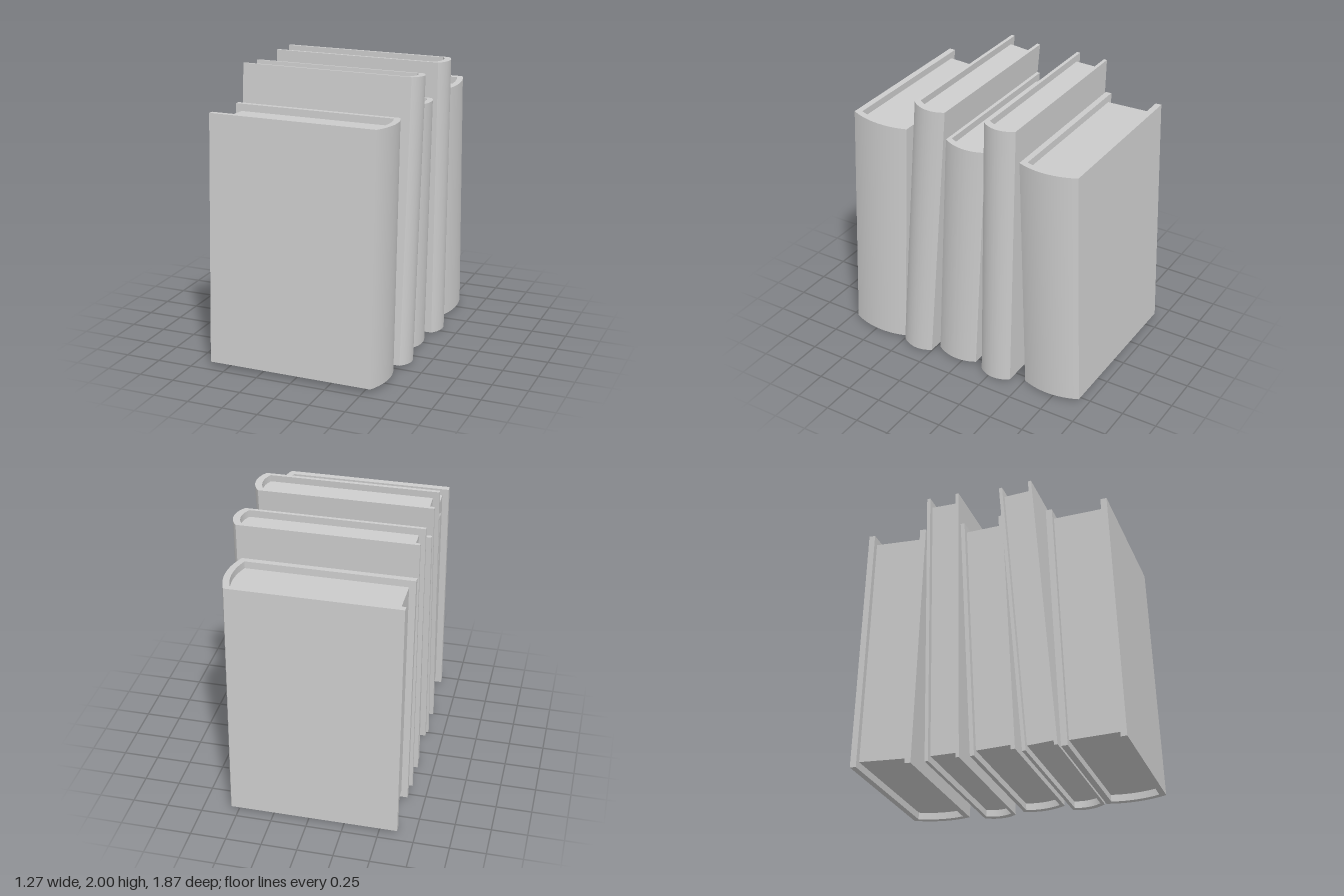
import * as THREE from 'three';
import { toCreasedNormals } from 'three/addons/utils/BufferGeometryUtils.js';

const material = new THREE.MeshStandardMaterial({ color: 0xcccccc });

// Adds a bulging arc at x between z = -half and z = +half (reversed if asked)
function addArc(shape, x, half, bulge, reverse = false) {
  const r = (half * half + bulge * bulge) / (2 * bulge);
  const a = Math.asin(half / r);
  const cx = x + bulge - r;
  if (reverse) shape.absarc(cx, 0, r, a, -a, true);
  else shape.absarc(cx, 0, r, -a, a, false);
}

// Extrudes a plan outline upwards, centred on y = 0
function extrudeUp(name, shape, height) {
  const geo = new THREE.ExtrudeGeometry(shape, { depth: height, bevelEnabled: false, curveSegments: 20 });
  geo.translate(0, 0, -height / 2);
  geo.rotateX(-Math.PI / 2);
  const mesh = new THREE.Mesh(toCreasedNormals(geo, 0.45), material);
  mesh.name = name;
  return mesh;
}

function makeBook({ height, thick, back, spine, inner, board, tilt, y, z }) {
  const book = new THREE.Group();
  const half = thick / 2;
  const innerHalf = half - board;

  // Hard cover: two boards joined by a rounded spine
  const cover = new THREE.Shape();
  cover.moveTo(back, -half);
  cover.lineTo(spine, -half);
  addArc(cover, spine, half, 0.046);
  cover.lineTo(back, half);
  cover.lineTo(back, innerHalf);
  cover.lineTo(inner, innerHalf);
  addArc(cover, inner, innerHalf, 0.031, true);
  cover.lineTo(back, -innerHalf);
  cover.closePath();
  book.add(extrudeUp('cover', cover, height));

  // Page block, set back from the cover edges
  const pages = new THREE.Shape();
  pages.moveTo(back + 0.045, -innerHalf);
  pages.lineTo(inner, -innerHalf);
  addArc(pages, inner, innerHalf, 0.031);
  pages.lineTo(back + 0.045, innerHalf);
  pages.closePath();
  book.add(extrudeUp('pages', pages, height - 0.1));

  book.position.set(0, y, z);
  book.rotation.x = tilt;
  return book;
}

export function createModel() {
  const model = new THREE.Group();
  model.name = 'bookRow';
  const short = { height: 1.738, back: -0.627, spine: 0.55, inner: 0.52 };
  const tall = { height: 1.984, back: -0.636, spine: 0.587, inner: 0.552 };

  // Books from front to back, each leaning a little
  const books = [
    { ...short, thick: 0.429, board: 0.043, tilt: -0.048, y: 0.888, z: 0.681 },
    { ...tall, thick: 0.235, board: 0.0235, tilt: -0.083, y: 1.0, z: 0.289 },
    { ...short, thick: 0.304, board: 0.028, tilt: -0.053, y: 0.887, z: 0.006 },
    { ...tall, thick: 0.235, board: 0.0235, tilt: -0.0187, y: 1.0, z: -0.308 },
    { ...short, thick: 0.429, board: 0.043, tilt: 0.0335, y: 0.888, z: -0.694 },
  ];
  books.forEach((spec, i) => {
    const book = makeBook(spec);
    book.name = `book${i + 1}`;
    model.add(book);
  });
  return model;
}
